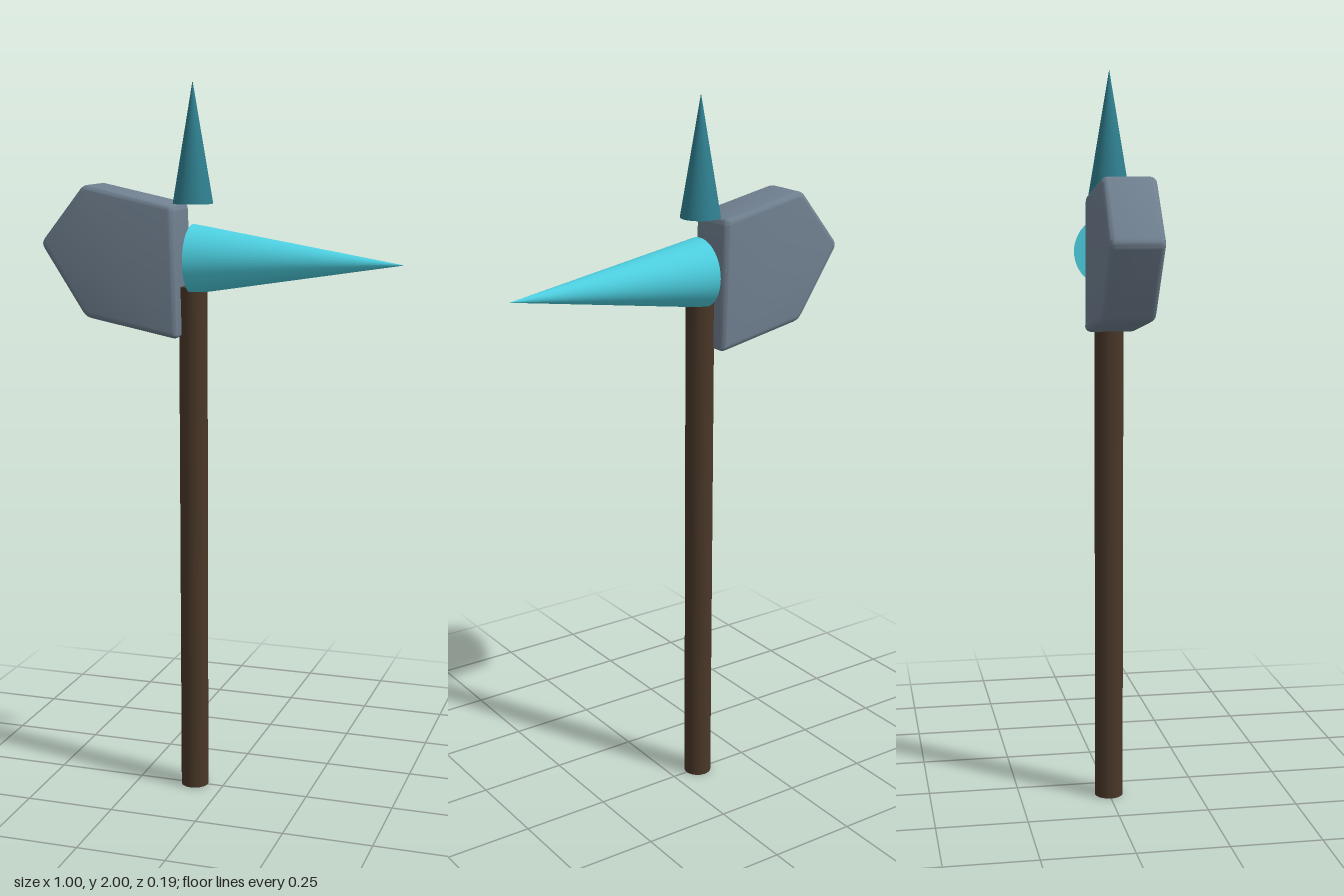
import * as THREE from 'three';
import { toCreasedNormals } from 'three/addons/utils/BufferGeometryUtils.js';

const AXIS_X = -0.085; // centre line of the handle

function addPart(group, name, geometry, color) {
  const mesh = new THREE.Mesh(geometry, new THREE.MeshStandardMaterial({ color }));
  mesh.name = name;
  group.add(mesh);
  return mesh;
}

// Closed outline whose corners are softened by a given radius
function roundedOutline(points, radius) {
  const shape = new THREE.Shape();
  const p = points.map(([x, y]) => new THREE.Vector2(x, y));
  p.forEach((corner, i) => {
    const toward = (q) => corner.clone().add(q.clone().sub(corner).setLength(radius));
    const start = toward(p[(i + p.length - 1) % p.length]);
    const end = toward(p[(i + 1) % p.length]);
    if (i === 0) shape.moveTo(start.x, start.y);
    else shape.lineTo(start.x, start.y);
    shape.quadraticCurveTo(corner.x, corner.y, end.x, end.y);
  });
  shape.closePath();
  return shape;
}

export function createModel() {
  const group = new THREE.Group();
  group.name = 'warHammer';

  // Straight wooden shaft
  const handle = addPart(group, 'handle', new THREE.CylinderGeometry(0.039, 0.039, 1.45, 32), 0x4a3728);
  handle.position.set(AXIS_X, 0.725, 0);

  // Five-sided stone head with bevelled edges
  const outline = roundedOutline(
    [[-0.108, 1.31], [-0.12, 1.673], [-0.378, 1.726], [-0.508, 1.563], [-0.378, 1.362]], 0.018);
  const bevel = 0.016;
  const headGeometry = new THREE.ExtrudeGeometry(outline, {
    depth: 0.142 - 2 * bevel, bevelEnabled: true, bevelThickness: bevel,
    bevelSize: bevel, bevelOffset: -bevel, bevelSegments: 4, curveSegments: 5,
  });
  headGeometry.translate(0, 0, -0.071 + bevel);
  addPart(group, 'hammerHead', toCreasedNormals(headGeometry, 0.6), 0x708090);

  // Long side spike, pointing to the left
  const sideSpike = addPart(group, 'sideSpike', new THREE.ConeGeometry(0.095, 0.585, 48), 0x4dd0e1);
  sideSpike.rotation.z = -Math.PI / 2;
  sideSpike.position.set(AXIS_X + 0.2925, 1.525, 0);

  // Upright spike above the head
  const topSpike = addPart(group, 'topSpike', new THREE.ConeGeometry(0.055, 0.325, 48), 0x2f7f8f);
  topSpike.position.set(AXIS_X, 1.8375, 0);

  return group;
}
